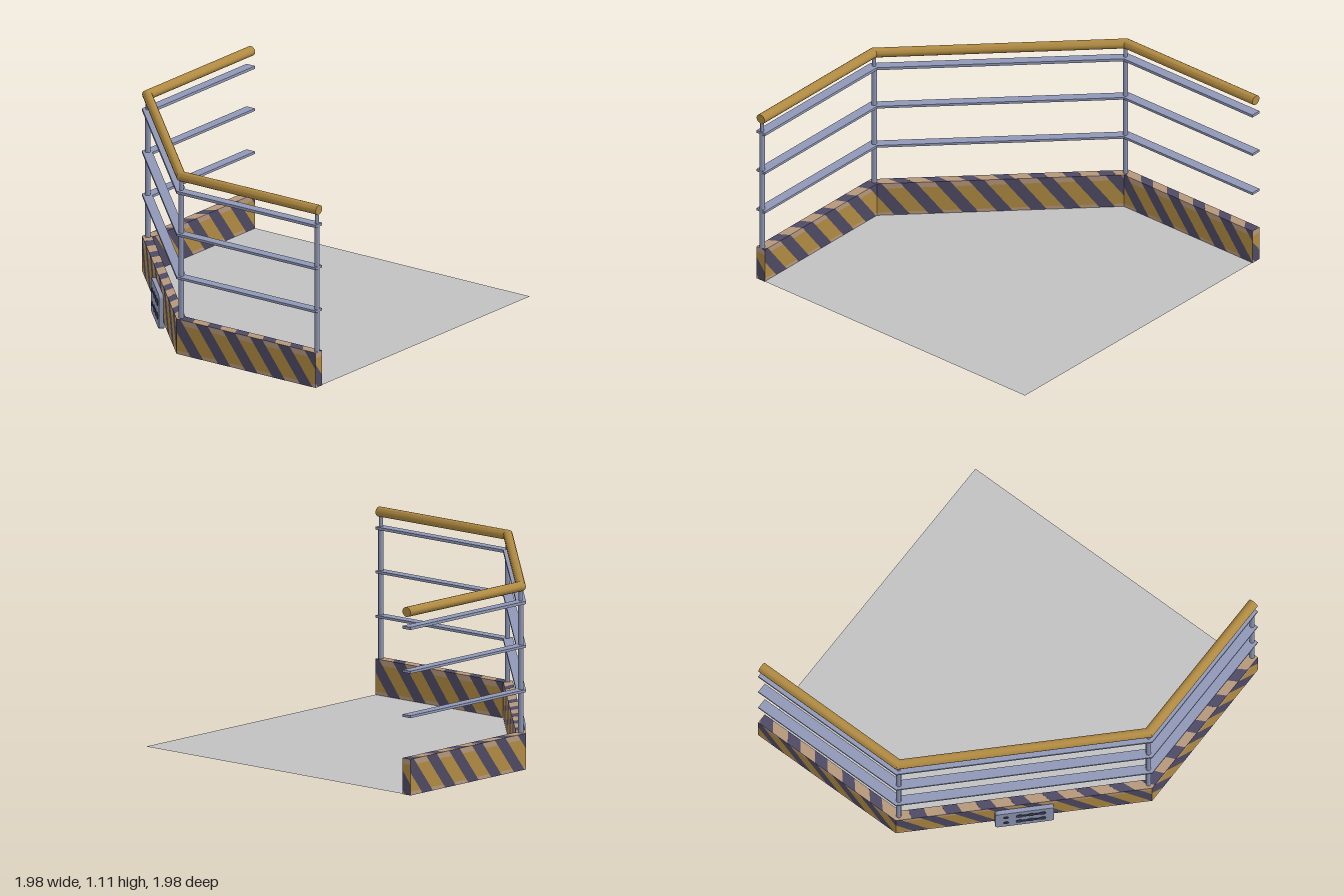
import * as THREE from 'three';
import { toCreasedNormals } from 'three/addons/utils/BufferGeometryUtils.js';

const mat = (name, color, double) => {
  const m = new THREE.MeshStandardMaterial({ color });
  m.name = name;
  if (double) m.side = THREE.DoubleSide;
  return m;
};

// Plan path of the railing: [x, z] with the inward offset direction at each station
const PATH = [
  { p: [-0.96, 0.98], n: [1, 0] },
  { p: [-0.96, 0.02], n: [1, 0.28] },
  { p: [0.035, -0.97], n: [0.28, 1] },
  { p: [0.985, -0.97], n: [0, 1] },
];
const at = (i, o, y) => {
  const { p, n } = PATH[i];
  return new THREE.Vector3(p[0] + n[0] * o, y, p[1] + n[1] * o);
};

// Sweep a counter-clockwise profile of [offset, y] along the path, with end caps
function sweep(profile) {
  const pos = [], idx = [], n = profile.length, last = PATH.length - 1;
  for (let i = 0; i <= last; i++) for (const [o, y] of profile) pos.push(...at(i, o, y).toArray());
  for (let i = 0; i < last; i++) {
    for (let j = 0; j < n; j++) {
      const a = i * n + j, b = i * n + (j + 1) % n;
      idx.push(a, a + n, b, b, a + n, b + n);
    }
  }
  for (let j = 1; j < n - 1; j++) {
    idx.push(0, j, j + 1, last * n, last * n + j + 1, last * n + j);
  }
  const g = new THREE.BufferGeometry();
  g.setAttribute('position', new THREE.Float32BufferAttribute(pos, 3));
  g.setIndex(idx);
  return toCreasedNormals(g, 0.5);
}

// Clip a convex polygon on one axis, keeping sign * (value - limit) >= 0
function clip(poly, axis, limit, sign) {
  const out = [];
  poly.forEach((a, i) => {
    const b = poly[(i + 1) % poly.length];
    const da = sign * (a[axis] - limit), db = sign * (b[axis] - limit);
    if (da >= 0) out.push(a);
    if (da * db < 0) {
      const t = da / (da - db);
      out.push([a[0] + (b[0] - a[0]) * t, a[1] + (b[1] - a[1]) * t]);
    }
  });
  return out;
}

// Cover a quad with slanted stripes; triangles are sorted into dark, yellow and worn lists
function stripeFace(lists, bl, br, tr, tl, shift, phase, wornLow, wornHigh) {
  const L = (bl.distanceTo(br) + tl.distanceTo(tr)) / 2;
  const period = 0.19, darkWidth = 0.087;
  const add = (list, poly) => {
    const pts = poly.map(([s, v]) =>
      bl.clone().lerp(br, s / L).lerp(tl.clone().lerp(tr, s / L), v));
    for (let k = 1; k < pts.length - 1; k++) {
      for (const q of [pts[0], pts[k], pts[k + 1]]) list.push(q.x, q.y, q.z);
    }
  };
  const band = (s0, s1) => {
    const poly = [[s0, 0], [s1, 0], [s1 - shift, 1], [s0 - shift, 1]];
    return clip(clip(poly, 0, 0, 1), 0, L, -1);
  };
  for (let s = phase - period * 2; s < L + period * 2; s += period) {
    add(lists.dark, band(s, s + darkWidth));
    const gap = band(s + darkWidth, s + period);
    add(lists.worn, clip(gap, 1, wornLow, -1));
    add(lists.yellow, clip(clip(gap, 1, wornLow, 1), 1, wornHigh, -1));
    add(lists.worn, clip(gap, 1, wornHigh, 1));
  }
}

export function createModel() {
  const steel = mat('steel', 0x8f97b6);
  const gold = mat('handrail gold', 0xb08a42);
  const yellow = mat('stripe yellow', 0xb08a42, true);
  const dark = mat('stripe dark', 0x4e4a64, true);
  const worn = mat('worn stripe edge', 0xb5977c, true);
  const floorGrey = mat('floor grey', 0xc0c0c0, true);
  const socketDark = mat('socket dark', 0x3e4258);

  const model = new THREE.Group();
  const add = (name, geo, m, parent = model) => {
    const mesh = new THREE.Mesh(geo, m);
    mesh.name = name;
    parent.add(mesh);
    return mesh;
  };

  // Round handrail
  const ring = [];
  for (let k = 0; k < 16; k++) {
    const a = k / 16 * Math.PI * 2;
    ring.push([Math.cos(a) * 0.03, 1.08 + Math.sin(a) * 0.028]);
  }
  add('handrail', sweep(ring), gold);

  // Three flat bars
  for (const [y, h] of [[0.99, 0.008], [0.742, 0.007], [0.49, 0.007]]) {
    add('flatBar', sweep([[-0.03, y - h], [0.03, y - h], [0.03, y + h], [-0.03, y + h]]), steel);
  }

  // Posts with a narrower neck under the handrail
  for (const [x, z] of [[-0.96, 0.967], [-0.957, 0.02], [0.033, -0.966]]) {
    const post = add('post', new THREE.CylinderGeometry(0.015, 0.015, 0.75, 12), steel);
    post.position.set(x, 0.62, z);
    const neck = add('postNeck', new THREE.CylinderGeometry(0.011, 0.011, 0.09, 12), steel);
    neck.position.set(x, 1.03, z);
  }

  // Kick plate striped on every side
  const y0 = 0.045, y1 = 0.25, w = 0.03;
  const lists = { dark: [], yellow: [], worn: [] };
  for (let i = 0; i < 3; i++) {
    const [inA, inB, outA, outB] = [at(i, w, y0), at(i + 1, w, y0), at(i, -w, y0), at(i + 1, -w, y0)];
    const [inC, inD, outC, outD] = [at(i, w, y1), at(i + 1, w, y1), at(i, -w, y1), at(i + 1, -w, y1)];
    stripeFace(lists, inA, inB, inD, inC, 0.16, 0.1, 0.1, 0.84);
    stripeFace(lists, outB, outA, outC, outD, 0.16, 0.1, 0.1, 0.84);
    stripeFace(lists, inC, inD, outD, outC, 0.04, -0.06, 0.5, 0.5);
    stripeFace(lists, outA, outB, inB, inA, 0.04, 0.1, 0, 1);
  }
  stripeFace(lists, at(0, -w, y0), at(0, w, y0), at(0, w, y1), at(0, -w, y1), 0.16, 0.02, 0.1, 0.84);
  stripeFace(lists, at(3, w, y0), at(3, -w, y0), at(3, -w, y1), at(3, w, y1), 0.16, 0.02, 0.1, 0.84);
  const kick = new THREE.Group();
  kick.name = 'kickPlate';
  model.add(kick);
  for (const [key, m] of [['dark', dark], ['yellow', yellow], ['worn', worn]]) {
    const g = new THREE.BufferGeometry();
    g.setAttribute('position', new THREE.Float32BufferAttribute(lists[key], 3));
    g.computeVertexNormals();
    add(key + 'Stripes', g, m, kick);
  }

  // Thin floor sheet
  const floorShape = new THREE.Shape(
    [[-0.94, -0.98], [0.975, -0.98], [0.985, 0.955], [0.04, 0.955], [-0.94, -0.02]]
      .map(([x, y]) => new THREE.Vector2(x, y)));
  const floor = add('floor', new THREE.ShapeGeometry(floorShape), floorGrey);
  floor.rotation.x = -Math.PI / 2;
  floor.position.y = 0.047;

  // Socket box on the outside of the slanted side
  const box = new THREE.Group();
  box.name = 'socketBox';
  box.position.set(-0.478, 0.1, -0.49);
  box.rotation.y = -Math.PI * 3 / 4;
  model.add(box);
  const hw = 0.165, hh = 0.1, r = 0.022;
  const s = new THREE.Shape();
  s.absarc(hw - r, hh - r, r, 0, Math.PI / 2);
  s.absarc(-hw + r, hh - r, r, Math.PI / 2, Math.PI);
  s.absarc(-hw + r, -hh + r, r, Math.PI, Math.PI * 1.5);
  s.absarc(hw - r, -hh + r, r, Math.PI * 1.5, Math.PI * 2);
  add('boxBody', new THREE.ExtrudeGeometry(s, { depth: 0.03, bevelEnabled: false, curveSegments: 5 }), steel, box);

  // Two rows of one small hole and one long waisted socket
  const disc = (x, y, rad) => {
    const d = add('socketHole', new THREE.CylinderGeometry(rad, rad, 0.004, 16), socketDark, box);
    d.rotation.x = Math.PI / 2;
    d.position.set(x, y, 0.031);
  };
  for (const y of [0.04, -0.04]) {
    disc(-0.105, y, 0.015);
    for (const x of [-0.03, 0.035, 0.1]) disc(x, y, 0.02);
    const slot = add('socketSlot', new THREE.BoxGeometry(0.13, 0.022, 0.004), socketDark, box);
    slot.position.set(0.035, y, 0.031);
  }
  return model;
}
